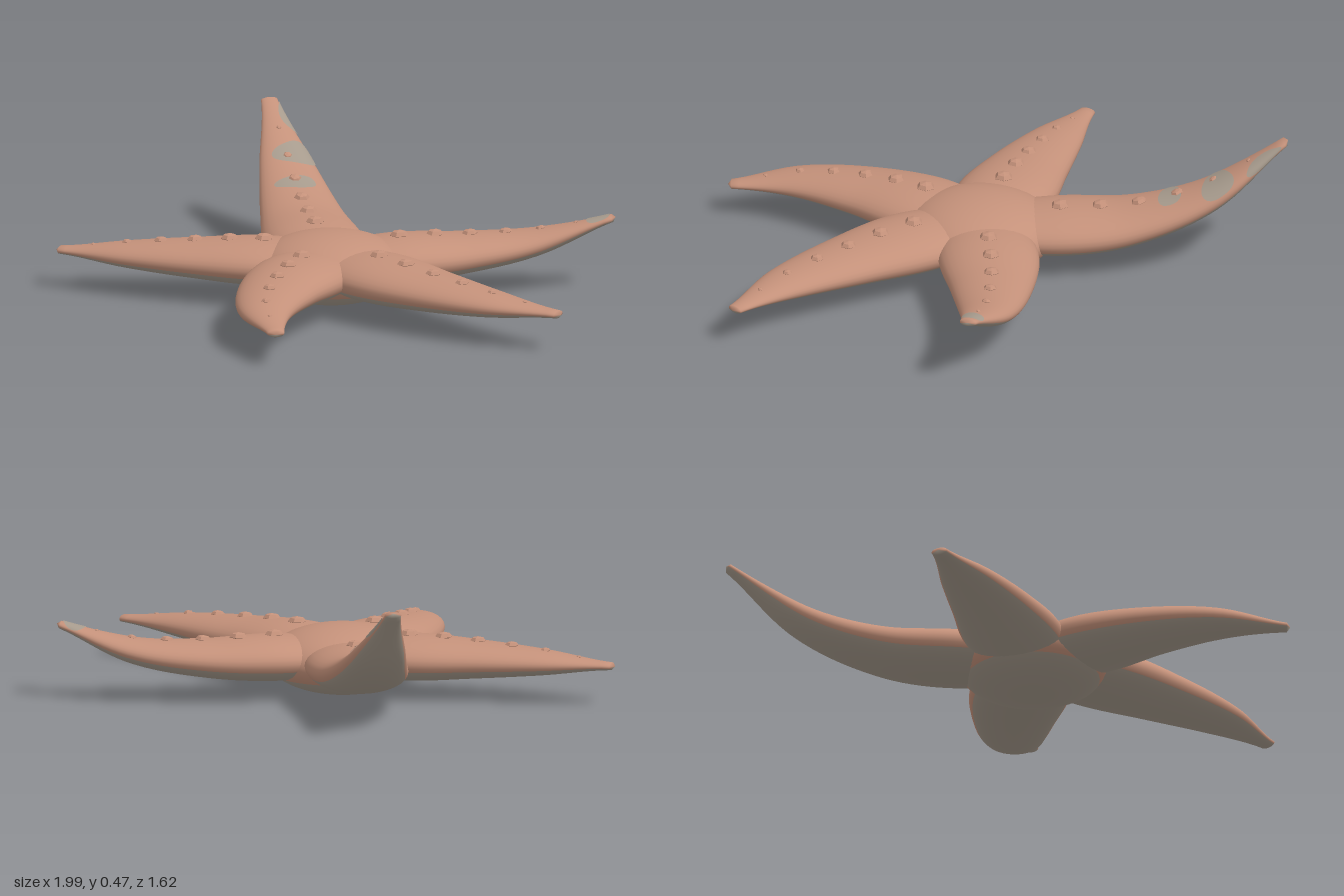
import * as THREE from 'three';

const SIDES = 32, RINGS = 36;
const CENTRE = [-0.07, 0.135, 0.03];

// Centre lines of the five arms, from the body outwards
const ARMS = [
  { name: 'leftArm', path: [[0.18, 0.135, 0.042], [0.45, 0.133, 0.034], [0.73, 0.133, 0], [0.985, 0.132, -0.075]] },
  { name: 'backLeftArm', path: [[0.03, 0.137, -0.19], [0.15, 0.142, -0.41], [0.29, 0.172, -0.61], [0.475, 0.258, -0.79]],
    patches: [[0.955, 1.5, 0.04, 1.2]] },
  { name: 'backRightArm', path: [[-0.29, 0.135, -0.1], [-0.51, 0.158, -0.24], [-0.74, 0.255, -0.38], [-0.98, 0.455, -0.505]],
    patches: [[0.6, 1.57, 0.038, 0.6], [0.76, 2.0, 0.055, 0.95], [0.92, 2.7, 0.065, 0.75]] },
  { name: 'frontRightArm', path: [[-0.27, 0.135, 0.19], [-0.45, 0.135, 0.33], [-0.65, 0.134, 0.47], [-0.845, 0.133, 0.595]] },
  { name: 'frontLeftArm', path: [[0.02, 0.137, 0.25], [0.13, 0.136, 0.46], [0.28, 0.13, 0.65], [0.48, 0.115, 0.785]] },
];

// Half width along an arm
const WIDTH = new THREE.SplineCurve(
  [[0, 0.14], [0.25, 0.175], [0.5, 0.143], [0.75, 0.095], [1, 0.029]].map(p => new THREE.Vector2(...p)));

// Returns a function giving the surface point and frame at (t, angle)
function armSurface(path) {
  const curve = new THREE.CatmullRomCurve3([CENTRE, ...path].map(p => new THREE.Vector3(...p)));
  return (t, a, lift = 0) => {
    const c = curve.getPointAt(t), T = curve.getTangentAt(t);
    const side = new THREE.Vector3(T.z, 0, -T.x).normalize();
    const up = new THREE.Vector3().crossVectors(T, side).normalize();
    const w = WIDTH.getPoint(t).y;
    const point = c.clone()
      .addScaledVector(side, (w + lift) * Math.cos(a))
      .addScaledVector(up, (w * 0.45 + lift) * Math.sin(a));
    return { point, up, centre: c, tangent: T };
  };
}

function buildGeometry(pos, index) {
  const g = new THREE.BufferGeometry();
  g.setAttribute('position', new THREE.Float32BufferAttribute(pos, 3));
  g.setIndex(index);
  g.computeVertexNormals();
  return g;
}

// Tapered arm: group 0 is the upper skin, group 1 the pale underside
function armGeometry(surface) {
  const pos = [], skin = [], under = [];
  for (let i = 0; i <= RINGS; i++)
    for (let j = 0; j < SIDES; j++)
      pos.push(...surface(i / RINGS, j / SIDES * Math.PI * 2).point.toArray());
  const end = surface(1, 0);
  pos.push(...end.centre.addScaledVector(end.tangent, 0.012).toArray());
  const tip = (RINGS + 1) * SIDES;
  for (let i = 0; i <= RINGS; i++)
    for (let j = 0; j < SIDES; j++) {
      const k = (j + 1) % SIDES, a = i * SIDES + j, b = i * SIDES + k;
      const list = j >= 18 && j < 30 ? under : skin;
      if (i === RINGS) list.push(a, b, tip);
      else list.push(a, b, a + SIDES, b, b + SIDES, a + SIDES);
    }
  const g = buildGeometry(pos, [...skin, ...under]);
  g.addGroup(0, skin.length, 0);
  g.addGroup(skin.length, under.length, 1);
  return g;
}

// Thin oval blotch that follows the arm surface
function patchGeometry(surface, [t0, a0, rt, ra]) {
  const rings = 6, n = 28, pos = [...surface(t0, a0, 0.003).point.toArray()], index = [];
  for (let r = 1; r <= rings; r++)
    for (let k = 0; k < n; k++) {
      const f = k / n * Math.PI * 2, s = r / rings * (1 + 0.08 * Math.sin(3 * f));
      const t = Math.min(1, t0 + rt * s * Math.cos(f));
      pos.push(...surface(t, a0 + ra * s * Math.sin(f), 0.003).point.toArray());
    }
  for (let k = 0; k < n; k++) {
    const m = (k + 1) % n;
    index.push(0, 1 + m, 1 + k);
    for (let r = 0; r < rings - 1; r++) {
      const a = 1 + r * n + k, b = 1 + r * n + m;
      index.push(a, b, a + n, b, b + n, a + n);
    }
  }
  return buildGeometry(pos, index);
}

// Faceted six-sided wart
function bumpGeometry() {
  const g = new THREE.SphereGeometry(1, 6, 4).toNonIndexed();
  g.computeVertexNormals();
  return g;
}

export function createModel() {
  const model = new THREE.Group();
  model.name = 'starfish';
  const skin = new THREE.MeshStandardMaterial({ color: 0xc4917a });
  skin.name = 'coral skin';
  const pale = new THREE.MeshStandardMaterial({ color: 0xa69a8c });
  pale.name = 'grey underside';

  const add = (parent, name, geometry, material) => {
    const mesh = new THREE.Mesh(geometry, material);
    mesh.name = name;
    parent.add(mesh);
    return mesh;
  };

  // Central disc, split into upper skin and underside
  const split = Math.PI * 0.66;
  for (const [name, start, length, mat] of [
    ['bodyTop', 0, split, skin], ['bodyUnderside', split, Math.PI - split, pale]]) {
    const g = new THREE.SphereGeometry(1, 40, 20, 0, Math.PI * 2, start, length);
    g.scale(0.265, 0.122, 0.265);
    add(model, name, g, mat).position.set(-0.07, 0.122, 0.03);
  }

  // Arms with a row of shrinking bumps
  const bump = bumpGeometry();
  const bumpSizes = [0.033, 0.031, 0.028, 0.024, 0.017, 0.009];
  for (const { name, path, patches = [] } of ARMS) {
    const arm = new THREE.Group();
    arm.name = name;
    model.add(arm);
    const surface = armSurface(path);
    add(arm, 'armSkin', armGeometry(surface), [skin, pale]);
    bumpSizes.forEach((size, k) => {
      const { point, up } = surface(0.245 + 0.126 * k, Math.PI / 2);
      const mesh = add(arm, 'bump', bump, skin);
      mesh.position.copy(point);
      mesh.quaternion.setFromUnitVectors(new THREE.Vector3(0, 1, 0), up);
      mesh.scale.set(size, size * 0.55, size);
    });
    patches.forEach(p => add(arm, 'greyPatch', patchGeometry(surface, p), pale));
  }
  return model;
}
